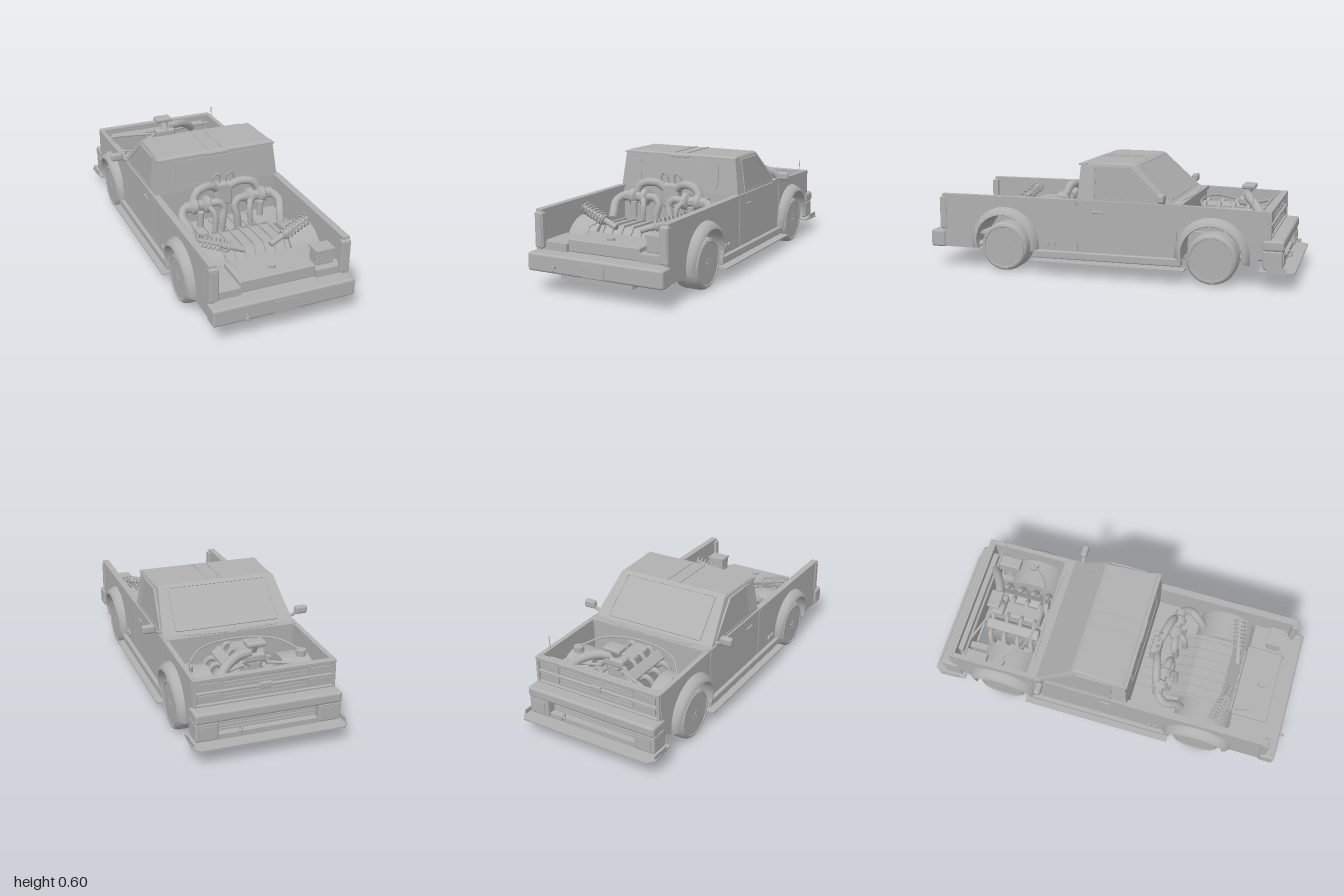
import * as THREE from 'three';
import { RoundedBoxGeometry } from 'three/addons/geometries/RoundedBoxGeometry.js';
import { ConvexGeometry } from 'three/addons/geometries/ConvexGeometry.js';
import { toCreasedNormals } from 'three/addons/utils/BufferGeometryUtils.js';

const V = (x, y, z) => new THREE.Vector3(x, y, z);
const REAR = 0.535, NOSE = -0.585, AXLE_Y = 0.131;

// Box given by its limits on each axis, optionally rounded.
const box = (x0, x1, y0, y1, z0, z1, r = 0) => {
  const s = [x1 - x0, y1 - y0, z1 - z0];
  const g = r ? new RoundedBoxGeometry(...s, 3, r) : new THREE.BoxGeometry(...s);
  return g.translate((x0 + x1) / 2, (y0 + y1) / 2, (z0 + z1) / 2);
};
const tube = (r, pts, n = 24) =>
  new THREE.TubeGeometry(new THREE.CatmullRomCurve3(pts.map((p) => V(...p))), n, r, 10);
const rod = (r, a, b) => {
  const p = V(...a), d = V(...b).sub(p), g = new THREE.CylinderGeometry(r, r, d.length(), 14);
  g.applyQuaternion(new THREE.Quaternion().setFromUnitVectors(V(0, 1, 0), d.clone().normalize()));
  return g.translate(p.x + d.x / 2, p.y + d.y / 2, p.z + d.z / 2);
};
const ring = (x, y, z) => new THREE.TorusGeometry(0.013, 0.004, 8, 20).rotateY(Math.PI / 2).translate(x, y, z);
const poly = (pts) => new THREE.Shape(pts.map((p) => new THREE.Vector2(...p)));
// Profile of [radius, x] points turned about an axle.
const turned = (pts, z, y = AXLE_Y, start = 0, len = Math.PI * 2, seg = 48) =>
  toCreasedNormals(new THREE.LatheGeometry(pts.map((p) => new THREE.Vector2(...p)), seg, start, len), 0.6)
    .rotateZ(-Math.PI / 2).translate(0, y, z);
// Shape drawn in z,y and extruded inward from the plane x = outer.
const sideCut = (shape, outer, depth) =>
  new THREE.ExtrudeGeometry(shape, { depth, bevelEnabled: false, curveSegments: 28 })
    .rotateY(-Math.PI / 2).translate(outer, 0, 0);
// Moves every vertex's x by a rule.
const reshapeX = (g, rule) => {
  const p = g.attributes.position;
  for (let i = 0; i < p.count; i++) p.setX(i, rule(p.getX(i), p.getY(i)));
  return g;
};
// Mirrors geometry across x = 0 and keeps the faces pointing outward.
const mirrored = (geo) => {
  const g = (geo.index ? geo.toNonIndexed() : geo.clone()).scale(-1, 1, 1);
  for (const a of [g.attributes.position, g.attributes.normal]) {
    for (let i = 0; i < a.count; i += 3) {
      const p = V().fromBufferAttribute(a, i + 1), q = V().fromBufferAttribute(a, i + 2);
      a.setXYZ(i + 1, ...q).setXYZ(i + 2, ...p);
    }
  }
  return g;
};
// Rounded outline of a window, inset by d.
const outline = (wb, wt, h, r, d) => {
  const s = new THREE.Shape(), c = [[d - wb, d], [wb - d, d], [wt - d, h - d], [d - wt, h - d]];
  c.forEach((p, i) => {
    const to = (q) => V(q[0] - p[0], q[1] - p[1], 0).setLength(r);
    const a = to(c[(i + 3) % 4]), b = to(c[(i + 1) % 4]);
    s[i ? 'lineTo' : 'moveTo'](p[0] + a.x, p[1] + a.y);
    s.quadraticCurveTo(p[0], p[1], p[0] + b.x, p[1] + b.y);
  });
  s.closePath();
  return s;
};

export function createModel() {
  const truck = new THREE.Group();
  truck.name = 'pickupTruck';
  const gray = new THREE.MeshStandardMaterial({ color: 0xb0b0b0, side: THREE.DoubleSide });
  gray.name = 'plain gray';
  const add = (name, geo) => {
    const m = new THREE.Mesh(geo, gray);
    m.name = name;
    truck.add(m);
  };
  const both = (name, geo) => { add(name + 'Left', geo); add(name + 'Right', mirrored(geo)); };

  // Body sides with wheel arches
  const side = new THREE.Shape().moveTo(0.905, 0.11);
  for (const z of [REAR, NOSE]) side.lineTo(z + 0.162, 0.11).absarc(z, 0.145, 0.162, 0, Math.PI, false).lineTo(z - 0.162, 0.11);
  for (const p of [[-0.84, 0.15], [-0.865, 0.25], [-0.865, 0.385], [-0.4, 0.398], [0.895, 0.398], [0.905, 0.385]]) side.lineTo(...p);
  both('bodySide', sideCut(side, 0.365, 0.025));
  both('bedRail', box(0.332, 0.368, 0.388, 0.4, 0.135, 0.9));
  both('tailPost', box(0.322, 0.37, 0.21, 0.385, 0.878, 0.912, 0.006));
  both('tailLight', box(0.33, 0.364, 0.22, 0.375, 0.91, 0.916));
  for (const z of [0.13, -0.4]) both('doorSeam', box(0.364, 0.368, 0.13, 0.39, z - 0.003, z + 0.003));
  both('doorHandle', box(0.36, 0.371, 0.335, 0.346, -0.015, 0.045, 0.004));
  both('rockerPanel', box(0.345, 0.385, 0.085, 0.125, -0.43, 0.37, 0.006));
  both('sideSkirt', box(0.34, 0.412, 0.066, 0.073, -0.45, 0.38));

  // Wheels, flares that narrow toward the bottom, inner tubs
  for (const [z, tag, inner] of [[REAR, 'rear', 0.185], [NOSE, 'front', 0.19]]) {
    both(tag + 'Tire', turned([[0.085, 0.255], [0.115, 0.256], [0.127, 0.265], [0.131, 0.285], [0.131, 0.317],
      [0.127, 0.32], [0.131, 0.323], [0.131, 0.36], [0.128, 0.374], [0.121, 0.384], [0.117, 0.385]], z));
    both(tag + 'WheelDisc', turned([[0, 0.29], [0.085, 0.29], [0.085, 0.255], [0.1, 0.258], [0.117, 0.383],
      [0.115, 0.388], [0.108, 0.388], [0.106, 0.384], [0, 0.384]], z));
    both(tag + 'HubCap', rod(0.01, [0.38, AXLE_Y, z], [0.388, AXLE_Y, z]));
    for (let i = 0; i < 5; i++) {
      const a = i * Math.PI * 0.4 + Math.PI / 2, c = [AXLE_Y + 0.024 * Math.sin(a), z + 0.024 * Math.cos(a)];
      both(tag + 'WheelNut', rod(0.004, [0.38, ...c], [0.387, ...c]));
    }
    both(tag + 'FenderFlare', reshapeX(turned([[0.194, 0.362], [0.192, 0.372], [0.18, 0.396], [0.166, 0.41], [0.156, 0.412],
      [0.153, 0.405], [0.156, 0.36]], z, 0.15, Math.PI - 0.2, Math.PI + 0.4),
    (x, y) => (x < 0.362 ? x : 0.362 + (x - 0.362) * THREE.MathUtils.clamp(0.55 + (y - 0.11) * 2.6, 0.5, 1))));
    both(tag + 'WheelTub', turned([[0.09, inner], [0.163, inner], [0.163, 0.345]], z, 0.145, Math.PI, Math.PI));
    add(tag + 'Axle', rod(0.018, [-0.3, AXLE_Y, z], [0.3, AXLE_Y, z]));
    add(tag + 'Differential', new THREE.SphereGeometry(0.05, 20, 14).translate(0, AXLE_Y, z));
  }

  // Cab
  add('cabLower', box(-0.342, 0.342, 0.115, 0.395, -0.42, 0.13));
  add('cabUpper', new ConvexGeometry([-1, 1].flatMap((s) => [[0.355, 0.39, 0.13], [0.355, 0.39, -0.385], [0.355, 0.4, -0.375],
    [0.33, 0.585, 0.115], [0.325, 0.594, 0.1], [0.318, 0.585, -0.18], [0.31, 0.594, -0.16]].map(([x, y, z]) => V(s * x, y, z)))));
  add('cowl', box(-0.355, 0.355, 0.38, 0.4, -0.43, -0.36));
  add('roofLip', box(-0.335, 0.335, 0.58, 0.588, 0.08, 0.125));
  add('highBrakeLight', box(-0.06, 0.06, 0.574, 0.588, 0.115, 0.129, 0.003));
  both('roofSeam', box(0.035, 0.04, 0.592, 0.598, -0.16, 0.1));
  // Glass plates with raised rims, tilted onto the cab
  for (const [name, size, tilt, y, z] of [['rearWindow', [0.237, 0.237, 0.145, 0.025], -0.077, 0.42, 0.128],
    ['windshield', [0.282, 0.27, 0.25, 0.008], 0.811, 0.41, -0.365]]) {
    const rim = outline(...size, 0), pane = outline(...size, 0.005);
    rim.holes.push(new THREE.Path(pane.getPoints()));
    for (const [part, shape, depth] of [['Rim', rim, 0.006], ['Glass', pane, 0.003]]) {
      add(name + part, new THREE.ExtrudeGeometry(shape, { depth, bevelEnabled: false })
        .rotateY(z < 0 ? Math.PI : 0).rotateX(tilt).translate(0, y, z));
    }
  }
  // Side glass leans with the cab wall
  const lean = (x, y) => x - (y - 0.39) * 0.13;
  const frame = poly([[0.045, 0.402], [0.045, 0.575], [-0.15, 0.575], [-0.345, 0.402]]);
  const pane = poly([[0.033, 0.412], [0.033, 0.565], [-0.143, 0.565], [-0.318, 0.412]]);
  frame.holes.push(new THREE.Path(pane.getPoints()));
  both('sideWindowFrame', reshapeX(sideCut(frame, 0.36, 0.009), lean));
  both('sideWindow', reshapeX(sideCut(pane, 0.357, 0.004), lean));
  both('mirrorArm', tube(0.009, [[0.34, 0.405, -0.33], [0.37, 0.41, -0.335], [0.4, 0.435, -0.335]], 8));
  both('mirror', box(0.384, 0.451, 0.414, 0.457, -0.355, -0.32, 0.012));
  both('wiper', rod(0.003, [0.02, 0.403, -0.425], [0.25, 0.405, -0.41]));

  // Nose: framed grille, lamps, bumper, splitter
  add('grillePanel', box(-0.345, 0.345, 0.235, 0.385, -0.868, -0.845));
  for (const [y0, y1] of [[0.245, 0.256], [0.305, 0.317], [0.366, 0.387]]) add('grilleBar', box(-0.36, 0.36, y0, y1, -0.88, -0.86, 0.004));
  both('grilleEnd', box(0.345, 0.362, 0.245, 0.387, -0.88, -0.85, 0.004));
  both('headlight', box(0.225, 0.338, 0.322, 0.36, -0.875, -0.866));
  both('turnSignal', box(0.225, 0.338, 0.262, 0.3, -0.875, -0.866));
  for (const y of [0.268, 0.286, 0.328, 0.346]) add('grilleSlat', box(-0.208, 0.208, y, y + 0.008, -0.873, -0.866));
  add('grilleCentre', box(-0.03, 0.03, 0.296, 0.326, -0.884, -0.866, 0.004));
  add('frontBumper', box(-0.372, 0.372, 0.188, 0.244, -0.945, -0.838, 0.014));
  both('bumperCorner', box(0.255, 0.37, 0.095, 0.192, -0.938, -0.838, 0.01));
  both('fogLight', box(0.275, 0.35, 0.112, 0.172, -0.942, -0.934));
  add('lowerValance', box(-0.26, 0.26, 0.088, 0.115, -0.925, -0.85));
  add('intercooler', box(-0.26, 0.26, 0.115, 0.19, -0.89, -0.855));
  for (let y = 0.122; y < 0.18; y += 0.017) add('intercoolerFin', box(-0.25, 0.25, y, y + 0.007, -0.896, -0.888));
  add('splitter', new THREE.ExtrudeGeometry(poly([[-0.385, 0.82], [-0.395, 0.96], [-0.365, 1], [0.365, 1], [0.395, 0.96],
    [0.385, 0.82]]), { depth: 0.009, bevelEnabled: false }).rotateX(-Math.PI / 2).translate(0, 0.079, 0));
  both('splitterFin', box(0.383, 0.389, 0.085, 0.11, -0.96, -0.86));
  add('frontTowHook', ring(0.15, 0.14, -0.95));

  // Engine bay
  add('radiator', box(-0.3, 0.3, 0.15, 0.355, -0.845, -0.815, 0.005));
  both('innerRail', box(0.205, 0.235, 0.2, 0.24, -0.84, -0.42));
  add('engineBlock', box(-0.085, 0.085, 0.11, 0.3, -0.77, -0.44, 0.01));
  add('oilPan', box(-0.06, 0.06, 0.075, 0.12, -0.74, -0.48, 0.012));
  add('intakeManifold', box(-0.045, 0.045, 0.29, 0.365, -0.72, -0.46, 0.015));
  both('valveCover', box(-0.03, 0.03, -0.025, 0.025, -0.15, 0.15, 0.01).rotateZ(-0.7).translate(0.09, 0.315, -0.6));
  for (let z = -0.72; z < -0.48; z += 0.078) {
    both('exhaustRunner', tube(0.014, [[0.1, 0.28, z], [0.14, 0.3, z], [0.17, 0.26, z + 0.01], [0.157, 0.19, z + 0.02]], 12));
    both('intakeRunner', tube(0.012, [[0.02, 0.35, z], [0.055, 0.368, z], [0.08, 0.34, z]], 8));
  }
  both('exhaustCollector', rod(0.022, [0.157, 0.19, -0.73], [0.15, 0.17, -0.44]));
  add('throttleBody', box(-0.06, 0.06, 0.36, 0.405, -0.735, -0.665, 0.014));
  add('throttleNeck', rod(0.022, [0, 0.39, -0.685], [0, 0.45, -0.715]));
  add('airScoop', box(-0.055, 0.045, 0.445, 0.471, -0.75, -0.68, 0.01));
  add('chargePipe', tube(0.024, [[0.02, 0.41, -0.71], [0.09, 0.405, -0.73], [0.16, 0.38, -0.77], [0.22, 0.33, -0.815]]));
  add('crankPulley', rod(0.05, [0, 0.18, -0.795], [0, 0.18, -0.77]));
  add('engineBayBrace', rod(0.007, [-0.33, 0.35, -0.8], [0.33, 0.35, -0.8]));
  both('diagonalBrace', rod(0.007, [0.23, 0.35, -0.8], [0.06, 0.36, -0.74]));
  both('strutTop', rod(0.027, [0.3, 0.305, -0.61], [0.3, 0.335, -0.61]));
  add('coolantHose', tube(0.005, [[-0.3, 0.335, -0.61], [-0.2, 0.37, -0.51], [0, 0.38, -0.465], [0.2, 0.37, -0.51], [0.3, 0.335, -0.61]], 40));
  both('reservoir', box(0.265, 0.33, 0.22, 0.3, -0.83, -0.69, 0.008));
  add('antenna', rod(0.002, [0.345, 0.385, -0.78], [0.345, 0.46, -0.785]));

  // Bed floor, axle hump, ribs, tank, battery
  add('bedFloor', box(-0.34, 0.34, 0.185, 0.2, 0.13, 0.9));
  add('axleHump', sideCut(poly([[0.3, 0.2], [0.42, 0.272], [0.6, 0.28], [0.67, 0.2]]), 0.185, 0.37));
  for (let x = -0.165; x < 0.17; x += 0.055) {
    add('floorRib', box(x - 0.006, x + 0.006, 0.2, 0.21, 0.14, 0.3));
    add('humpRib', sideCut(poly([[0.29, 0.2], [0.415, 0.282], [0.605, 0.29], [0.675, 0.2]]), x + 0.006, 0.012));
  }
  both('sideDeck', box(0.2, 0.34, 0.2, 0.24, 0.69, 0.89));
  add('fuelTank', box(-0.2, 0.2, 0.2, 0.264, 0.68, 0.875, 0.006));
  add('fuelCap', rod(0.02, [0, 0.263, 0.805], [0, 0.277, 0.805]));
  add('batteryBox', box(0.22, 0.315, 0.24, 0.32, 0.775, 0.85, 0.004));
  add('batteryLid', box(0.216, 0.319, 0.311, 0.322, 0.771, 0.854));
  add('tankHose', tube(0.004, [[-0.16, 0.27, 0.77], [-0.19, 0.29, 0.7], [-0.18, 0.3, 0.63]], 10));

  // Coilovers laid across the bed
  const a = V(0.07, 0.286, 0.645), b = V(0.3, 0.365, 0.595), along = (t) => a.clone().lerp(b, t);
  for (const [name, r, t0, t1] of [['damper', 0.009, 0, 1], ['damperBody', 0.015, 0, 0.55], ['springSeat', 0.026, 0.33, 0.36]]) both(name, rod(r, along(t0), along(t1)));
  const dir = b.clone().sub(a).normalize(), u = V(0, 0, 1).cross(dir).normalize(), w = dir.clone().cross(u);
  both('coilSpring', tube(0.004, Array.from({ length: 85 }, (_, i) => along(0.36 + 0.62 * i / 84)
    .addScaledVector(u, 0.029 * Math.cos(i * Math.PI / 6)).addScaledVector(w, 0.029 * Math.sin(i * Math.PI / 6))), 168));

  // Twin turbos behind the cab
  add('chargeTank', box(-0.05, 0.05, 0.315, 0.445, 0.17, 0.225, 0.014));
  both('turboCompressor', turned([[0, 0.08], [0.022, 0.08], [0.025, 0.1], [0.045, 0.11], [0.045, 0.135], [0.025, 0.145],
    [0.025, 0.17], [0.042, 0.18], [0.042, 0.205], [0.028, 0.215], [0.028, 0.25], [0, 0.25]], 0.27, 0.37, 0, Math.PI * 2, 24));
  both('chargeTankLoop', tube(0.005, [[0.018, 0.44, 0.2], [0.022, 0.485, 0.21], [0.038, 0.502, 0.215], [0.056, 0.485, 0.21], [0.062, 0.43, 0.2]]));
  both('turboArchPipe', tube(0.022, [[0.04, 0.42, 0.21], [0.075, 0.443, 0.22], [0.115, 0.448, 0.23], [0.16, 0.435, 0.24], [0.185, 0.4, 0.25], [0.19, 0.37, 0.27]]));
  both('turboDownPipe', tube(0.02, [[0.1, 0.375, 0.28], [0.055, 0.375, 0.285], [0.032, 0.345, 0.29], [0.04, 0.29, 0.3], [0.05, 0.2, 0.3]]));
  both('turboFeedPipe', tube(0.015, [[0.12, 0.37, 0.3], [0.1, 0.34, 0.33], [0.1, 0.27, 0.34], [0.11, 0.2, 0.34]]));
  both('turboExhaustPipe', tube(0.022, [[0.2, 0.37, 0.27], [0.25, 0.37, 0.28], [0.275, 0.345, 0.32], [0.255, 0.3, 0.38], [0.24, 0.2, 0.43]]));
  both('wastegate', rod(0.018, [0.17, 0.27, 0.31], [0.17, 0.35, 0.31]));

  // Rear bumper, plate, tow hook
  add('rearBumper', box(-0.375, 0.375, 0.108, 0.2, 0.888, 0.97, 0.012));
  add('plateRecess', box(-0.062, 0.062, 0.115, 0.178, 0.966, 0.974));
  add('rearSill', box(-0.2, 0.2, 0.082, 0.11, 0.87, 0.94));
  add('towHook', ring(-0.21, 0.135, 0.983));

  // Chassis and exhaust beneath
  add('rearUndertray', box(-0.34, 0.34, 0.112, 0.12, 0.7, 0.89));
  both('chassisRail', tube(0.014, [[0.17, 0.11, -0.84], [0.17, 0.095, -0.4], [0.17, 0.095, 0.4], [0.17, 0.15, 0.55], [0.17, 0.1, 0.7], [0.17, 0.1, 0.88]], 40));
  for (const z of [-0.42, 0.38, 0.7, 0.86]) add('crossMember', rod(0.012, [-0.2, 0.1, z], [0.2, 0.1, z]));
  both('exhaustPipe', tube(0.018, [[0.15, 0.17, -0.44], [0.12, 0.085, -0.36], [0.09, 0.08, -0.1], [0.09, 0.08, 0.15], [0.11, 0.1, 0.28], [0.11, 0.2, 0.34]], 40));
  both('muffler', new THREE.CapsuleGeometry(0.028, 0.12, 6, 16).rotateX(Math.PI / 2).translate(0.13, 0.082, 0.26));
  add('driveshaft', rod(0.014, [0, 0.12, -0.44], [0, 0.12, REAR]));
  add('gearbox', box(-0.045, 0.045, 0.075, 0.15, -0.46, -0.25, 0.015));
  for (const z of [0.265, 0.3]) both('sidePipeTip', rod(0.018, [0.33, 0.16, z], [0.374, 0.16, z]));
  return truck;
}
